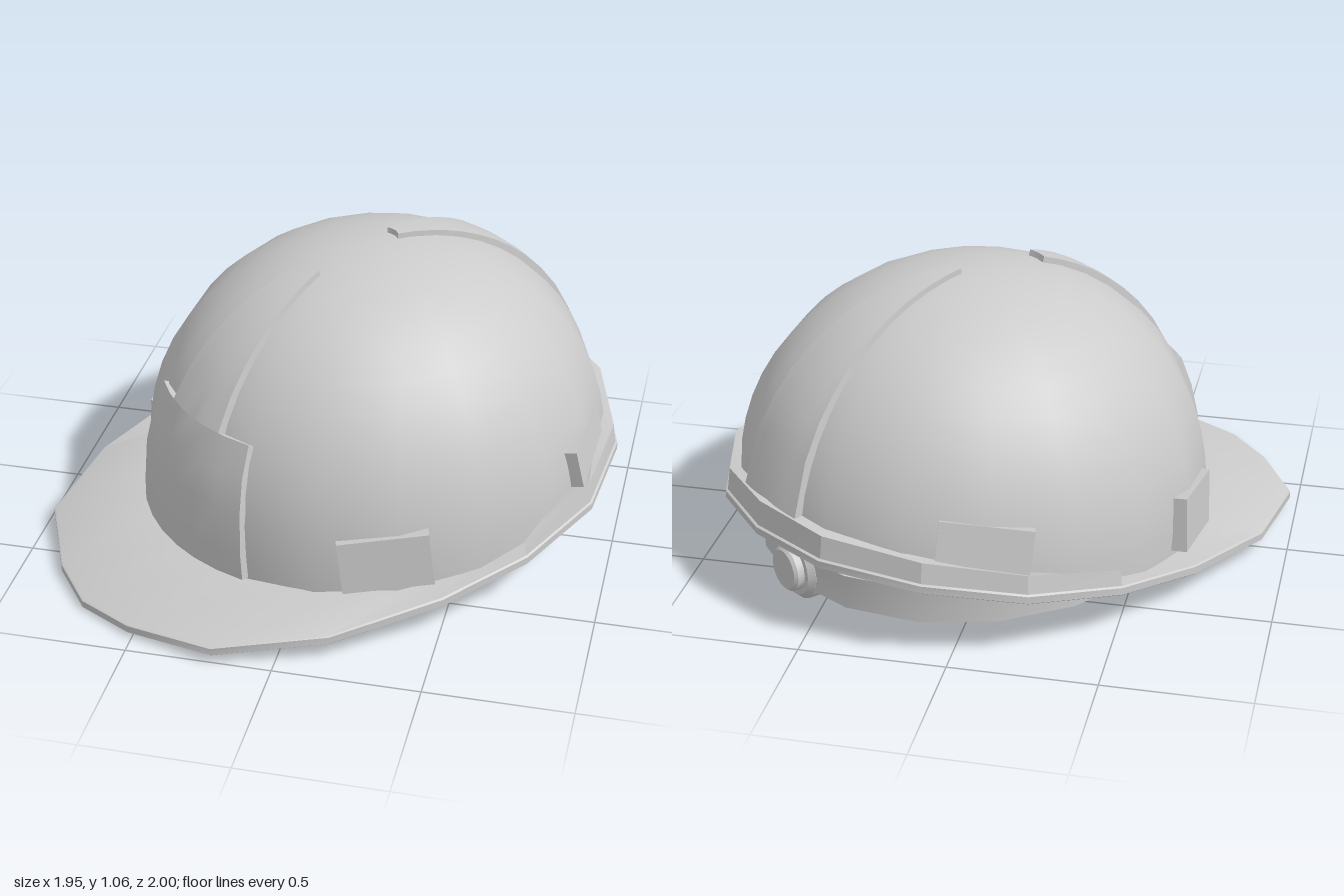
import * as THREE from 'three';
import { toCreasedNormals } from 'three/addons/utils/BufferGeometryUtils.js';

const mat = new THREE.MeshStandardMaterial({ color: 0xcccccc });
const shellMat = new THREE.MeshStandardMaterial({ color: 0xcccccc, side: THREE.DoubleSide });

// Shell: a slightly full half ellipsoid, with 18 sides
const A = 0.8, B = 0.845, H = 0.84, Y0 = 0.2, Z0 = -0.17, POWER = 2.15, SIDES = 18;
const radiusAt = y => Math.pow(1 - Math.pow(THREE.MathUtils.clamp((y - Y0) / H, 0, 1), POWER), 1 / POWER);
const heightAt = r => Y0 + H * Math.pow(Math.max(0, 1 - Math.pow(r, POWER)), 1 / POWER);

// Half outline of the brim from front to back: x, z, outer top y, inner top y
const brimHalf = [
  [0, 1.075, 0.035, 0.11], [0.22, 1.03, 0.042, 0.113], [0.515, 0.89, 0.065, 0.125],
  [0.725, 0.56, 0.095, 0.14], [0.825, 0.166, 0.14, 0.165], [0.853, -0.174, 0.19, 0.205],
  [0.79, -0.514, 0.245, 0.255], [0.597, -0.8, 0.293, 0.3], [0.3, -0.995, 0.315, 0.325], [0, -1.05, 0.325, 0.335],
];
function brimAt(i) {
  const k = ((i % SIDES) + SIDES) % SIDES;
  const [x, z, yOut, yIn] = brimHalf[Math.min(k, SIDES - k)];
  return { x: k > 9 ? -x : x, z, yOut, yIn };
}
function shellPoint(i, y, scale = 1) {
  const t = i / SIDES * Math.PI * 2, r = radiusAt(y) * scale;
  return [A * r * Math.sin(t), y, Z0 + B * r * Math.cos(t)];
}

// Skin a list of cross-sections (each a list of points)
function loft(sections, closeRing = false, crease = 0.6) {
  const pos = [], idx = [], n = sections[0].length;
  sections.forEach(s => s.forEach(p => pos.push(...p)));
  for (let i = 0; i < sections.length - 1; i++) {
    for (let j = 0; j < (closeRing ? n : n - 1); j++) {
      const a = i * n + j, b = i * n + (j + 1) % n, c = a + n, d = b + n;
      idx.push(a, c, b, b, c, d);
    }
  }
  const g = new THREE.BufferGeometry();
  g.setAttribute('position', new THREE.Float32BufferAttribute(pos, 3));
  g.setIndex(idx);
  return toCreasedNormals(g, crease);
}

function add(parent, name, geometry, material = mat) {
  const mesh = new THREE.Mesh(geometry, material);
  mesh.name = name;
  parent.add(mesh);
  return mesh;
}

const range = (n, f) => Array.from({ length: n }, (_, i) => f(i));

// Dome skin that starts at the brim all round
function domeGeometry(scale) {
  const rows = 14;
  return loft(range(SIDES + 1, i => range(rows, j => {
    const base = brimAt(i).yIn - 0.03;
    const y = base + (Y0 + H - base) * Math.sin(j / (rows - 1) * Math.PI / 2);
    const p = shellPoint(i, y, scale);
    if (scale < 1) p[1] = base + (y - base) * 0.965;
    return p;
  })), false, 0.9);
}

// Raised panel laid over the dome; rows are [y, half width]
function panelGeometry(rows, dir) {
  const cols = 7;
  const section = ([y, hw], outer) => {
    const r = radiusAt(y);
    const point = (x, s) => [
      x * dir,
      y > Y0 ? Y0 + (y - Y0) * s : y,
      Z0 + dir * B * s * Math.sqrt(Math.max(0, r * r - (x / A) ** 2)),
    ];
    return [point(-hw, 0.96), ...range(cols, j => point(hw * (2 * j / (cols - 1) - 1), outer ? 1.022 : 0.96)), point(hw, 0.96)];
  };
  return loft([section(rows[0], false), ...rows.map(r => section(r, true)), section(rows.at(-1), false)]);
}

export function createModel() {
  const group = new THREE.Group();
  const hat = new THREE.Group();
  hat.name = 'hardHat';
  hat.rotation.y = -0.724;
  group.add(hat);

  // Dome, outside and inside
  add(hat, 'domeShell', domeGeometry(1), shellMat);
  add(hat, 'domeLining', domeGeometry(0.95), shellMat);

  // Brim: a drooping peak in front that narrows to a lip behind
  add(hat, 'brim', loft(range(SIDES + 1, i => {
    const b = brimAt(i), inner = shellPoint(i, Y0, 0.93), out = (k, y) => [b.x * k, y, b.z * k];
    return [[inner[0], b.yIn, inner[2]], out(0.993, b.yOut), out(1, b.yOut - 0.005), out(1, b.yOut - 0.03),
      out(0.993, b.yOut - 0.035), [inner[0], b.yIn - 0.035, inner[2]]];
  }), true), shellMat);

  // Raised gutter round the sides and back
  add(hat, 'rearGutter', loft(range(11, n => {
    const i = THREE.MathUtils.clamp(n + 4, 5, 13), b = brimAt(i);
    const back = Math.min(i, SIDES - i) - 5, top = b.yOut + 0.055 + back * 0.008;
    const low = shellPoint(i, Y0, 0.98), high = shellPoint(i, top + 0.006, 0.98);
    const inner = [low[0], b.yIn, low[2]];
    if (n === 0 || n === 10) return [inner, inner, inner, inner];
    return [high, [b.x * 0.982, top, b.z * 0.982], [b.x * 0.993, b.yOut - 0.005, b.z * 0.993], inner];
  }), false, 0.4), shellMat);

  // Front panel: narrow ridge above, wide plate below
  const front = range(9, i => {
    const t = i / 8, r = 0.33 + (radiusAt(0.59) - 0.33) * t;
    return [heightAt(r), 0.04 + 0.1 * t];
  });
  add(hat, 'frontPanel', panelGeometry([...front, [front[8][0], 0.265], [0.48, 0.28], [0.36, 0.295], [0.2, 0.305], [0.11, 0.31]], 1), shellMat);

  // Back ridge, widening down to the gutter
  add(hat, 'backRidge', panelGeometry(range(13, i => {
    const t = i / 12, r = 0.08 + 0.905 * t;
    return [heightAt(r), 0.03 + 0.13 * t];
  }), -1), shellMat);

  // Accessory slots, two on each side, leaning with the dome
  for (const side of [1, -1]) {
    for (const [name, x, y, z, turn, lean] of [['FrontSlot', 0.655, 0.245, 0.28, 0.957, -0.06], ['RearSlot', 0.648, 0.365, -0.585, 2.19, -0.2]]) {
      const slot = add(hat, (side > 0 ? 'left' : 'right') + name, new THREE.BoxGeometry(0.31, 0.19, 0.06));
      slot.position.set(x * side, y, z);
      slot.rotation.set(lean, turn * side, 0.12 * side, 'YXZ');
    }
  }

  // Headband, hanging lower towards the back
  add(hat, 'headband', loft(range(SIDES + 1, i => {
    const t = i / SIDES * Math.PI * 2, f = (1 + Math.cos(t)) / 2;
    const low = 0.07 + 0.08 * f, high = 0.19 + 0.09 * f;
    const p = (k, y) => [0.755 * k * Math.sin(t), y, -0.15 + 0.77 * k * Math.cos(t)];
    return [p(1, high), p(1, low), p(0.975, low), p(0.975, high)];
  }), true), shellMat);

  // Adjusting knob at the back
  const knob = new THREE.Group();
  knob.name = 'adjustingKnob';
  knob.position.set(0, 0.125, -0.87);
  knob.rotation.x = -Math.PI / 2;
  hat.add(knob);
  const profile = [[0, -0.04], [0.12, -0.04], [0.12, 0.03], [0.1, 0.05], [0.08, 0.05], [0.08, 0.075], [0.07, 0.085], [0, 0.085]];
  add(knob, 'knobBody', toCreasedNormals(new THREE.LatheGeometry(profile.map(p => new THREE.Vector2(...p)), 20), 0.5));

  return group;
}
